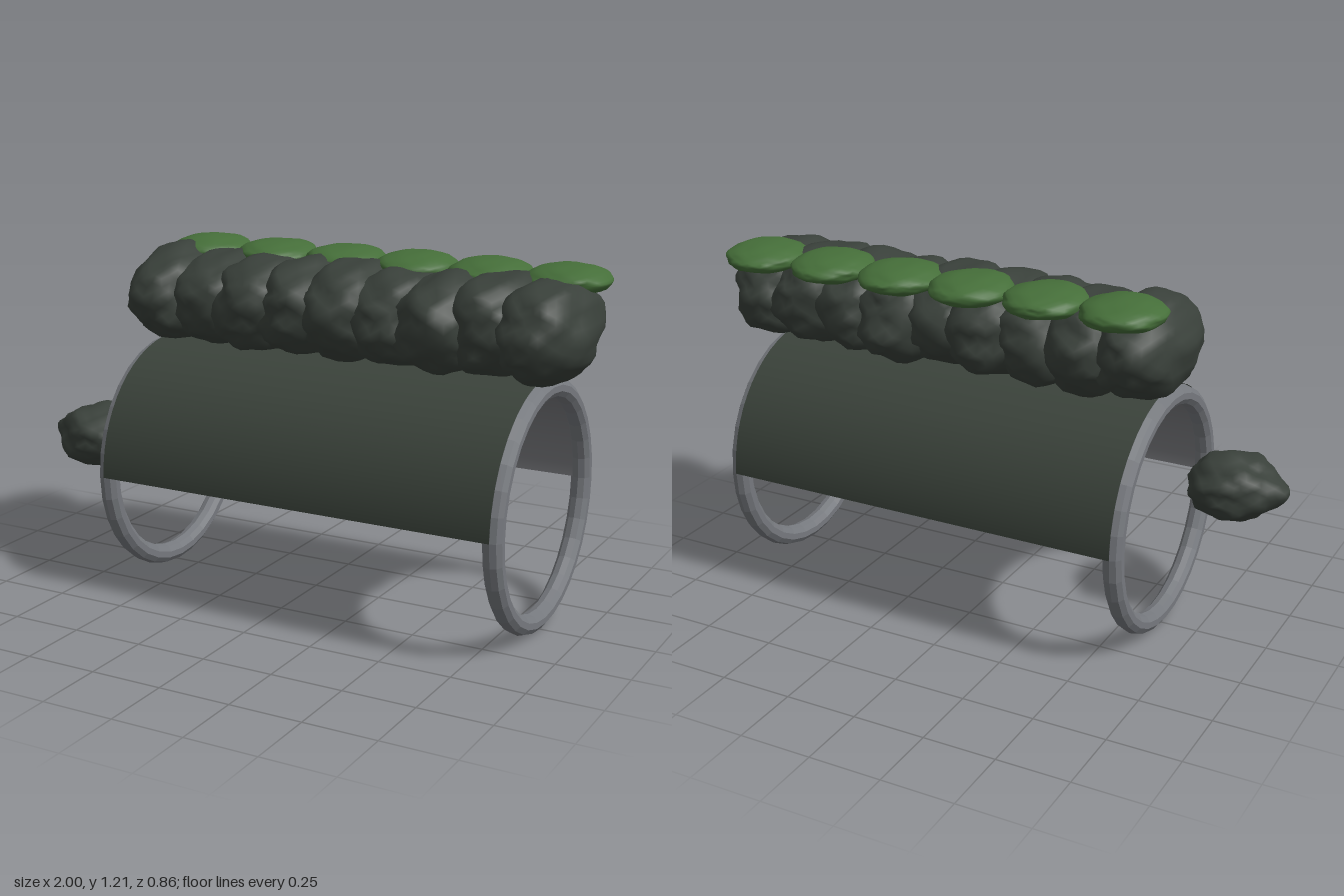
import * as THREE from 'three';
import { mergeVertices } from 'three/addons/utils/BufferGeometryUtils.js';

const mat = (name, color, extra = {}) => {
  const m = new THREE.MeshStandardMaterial({ color, ...extra });
  m.name = name;
  return m;
};

// Lumpy ellipsoid for foliage, ragged towards its z ends.
// square < 1 makes it boxier, tip draws out a point at -x
function clump([rx, ry, rz], seed, rough, square = 1, tip = 0) {
  const g = new THREE.IcosahedronGeometry(1, 6);
  g.deleteAttribute('normal');
  g.deleteAttribute('uv');
  const geo = mergeVertices(g, 1e-4);
  const p = geo.attributes.position;
  const v = new THREE.Vector3();
  const boxy = (c) => Math.sign(c) * Math.abs(c) ** square;
  for (let i = 0; i < p.count; i++) {
    v.fromBufferAttribute(p, i);
    const soft = Math.sin(v.x * 3.1 + seed * 2.3) * Math.sin(v.y * 4.3 + seed) * Math.sin(v.z * 3.7 - seed * 1.7);
    const sharp = Math.sin(v.x * 9 + seed) * Math.sin(v.y * 11 - seed * 3) + Math.sin(v.z * 10 + v.y * 6 + seed * 2) * 0.5;
    const ragged = Math.sin(v.x * 19 + seed * 5) * Math.sin(v.y * 21 + seed * 2) * v.z ** 4;
    const k = 0.97 + rough * (soft + 0.5 * sharp + 0.9 * ragged) + tip * Math.max(0, -v.x) ** 14;
    p.setXYZ(i, boxy(v.x) * rx * k, boxy(v.y) * ry * k, boxy(v.z) * rz * k);
  }
  geo.computeVertexNormals();
  return geo;
}

export function createModel() {
  const model = new THREE.Group();
  const canvas = mat('canvas green', 0x3b433b, { side: THREE.DoubleSide });
  const lining = mat('lining grey', 0x7a7b7f, { side: THREE.DoubleSide });
  const steel = mat('steel grey', 0x76797e, { flatShading: true });
  const leaf = mat('dark foliage', 0x39403a);
  const moss = mat('moss green', 0x456e39);
  const brass = mat('brass', 0xcdab57);

  const add = (name, geo, material, x, y, z) => {
    const m = new THREE.Mesh(geo, material);
    m.name = name;
    m.position.set(x, y, z);
    model.add(m);
    return m;
  };

  // Half-round tunnel: outer cover and inner lining, both open at the bottom
  const left = 0.837, right = -0.603, mid = (left + right) / 2, axis = 0.43;
  for (const [name, r, m] of [['outerCover', 0.43, canvas], ['innerLining', 0.372, lining]]) {
    const geo = new THREE.CylinderGeometry(r, r, left - right, 28, 1, true, 0, Math.PI);
    geo.rotateZ(Math.PI / 2);
    add(name, geo, m, mid, axis, 0);
  }

  // End hoops
  for (const [name, x] of [['leftHoop', left], ['rightHoop', right]]) {
    const geo = new THREE.TorusGeometry(0.394, 0.035, 10, 32);
    geo.rotateY(Math.PI / 2);
    add(name, geo, steel, x, axis, 0);
  }

  // Small plate hanging under the roof
  add('brassPlate', new THREE.BoxGeometry(0.055, 0.014, 0.055), brass, 0.61, 0.725, 0);

  // Row of foliage along the ridge
  for (let i = 0; i < 9; i++) {
    const s = i + 1;
    const rx = i === 0 || i === 8 ? 0.158 : 0.17;
    const rz = 0.258 + 0.01 * Math.sin(s * 2.1);
    add('ridgeFoliage', clump([rx, 0.172, rz], s, 0.07, 0.9), leaf,
      -0.545 + i * 0.173, 1.015 + 0.006 * Math.sin(s * 1.7), -0.03 + 0.01 * Math.sin(s * 2.9));
  }

  // Moss cushions on the rear of the ridge
  for (let i = 0; i < 6; i++) {
    add('mossCushion', clump([0.146, 0.052, 0.157], 20 + i * 0.3, 0.04), moss, -0.51 + i * 0.271, 1.16, -0.158);
  }

  // Loose bush beside the right hoop
  add('sideBush', clump([0.158, 0.117, 0.152], 4.2, 0.09, 0.95, 0.25), leaf, -0.8, 0.497, 0.155);

  return model;
}
